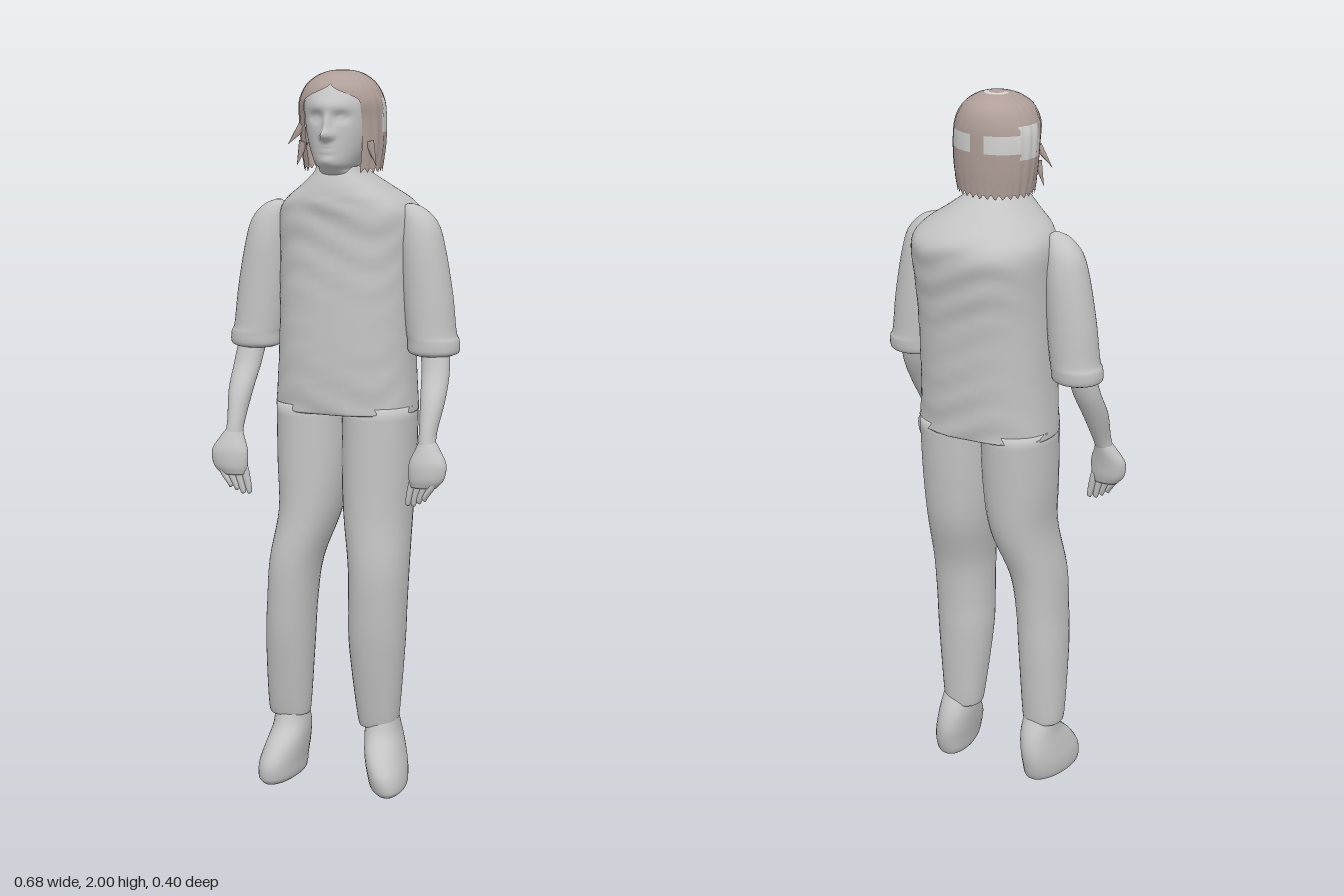
import * as THREE from 'three';

const grey = new THREE.MeshStandardMaterial({ color: 0xc4c4c4 });
grey.name = 'paleGrey';
const brown = new THREE.MeshStandardMaterial({ color: 0xb09f99, side: THREE.DoubleSide });
brown.name = 'hairBrown';
const bare = new THREE.MeshStandardMaterial({ color: 0xd2d2d0, side: THREE.DoubleSide });
bare.name = 'lightPatch';

// Smooth skin through level rings [y, xMin, xMax, zMin, zMax], listed upwards.
// gap(y): half angle left open at the front; bump(v, t): moves a vertex; pick(v): material per face.
function loft(name, rings, { n = 32, rows = 5, power = 1, gap, bump, pick } = {}) {
  const spline = (f) => new THREE.CatmullRomCurve3(rings.map(f), false, 'catmullrom', 0.5);
  const centre = spline(([y, a, b, c, d]) => new THREE.Vector3((a + b) / 2, y, (c + d) / 2));
  const radius = spline(([, a, b, c, d]) => new THREE.Vector3((b - a) / 2, 0, (d - c) / 2));
  const m = (rings.length - 1) * rows, cols = gap ? n + 1 : n;
  const verts = [], pos = [], faces = [[], []];
  const bend = (s) => Math.sign(s) * Math.abs(s) ** power;
  for (let i = 0; i <= m; i++) {
    const c = centre.getPoint(i / m), r = radius.getPoint(i / m), g = gap ? gap(c.y) : 0;
    for (let j = 0; j < cols; j++) {
      const t = g + (j / n) * 2 * (Math.PI - g);
      const v = new THREE.Vector3(c.x + Math.max(r.x, 0) * bend(Math.sin(t)), c.y, c.z + Math.max(r.z, 0) * bend(Math.cos(t)));
      if (bump) bump(v, t);
      verts.push(v);
    }
  }
  for (let i = 0; i < m; i++) for (let j = 0; j < n; j++) {
    const k = gap ? j + 1 : (j + 1) % n;
    const a = i * cols + j, b = i * cols + k, c = b + cols, d = a + cols;
    const mid = verts[a].clone().add(verts[c]).multiplyScalar(0.5);
    faces[pick ? pick(mid) : 0].push(a, b, c, a, c, d);
  }
  // End caps
  if (!gap) for (const end of [0, m]) {
    const e = centre.getPoint(end / m), at = verts.push(e) - 1;
    for (let j = 0; j < n; j++) {
      const a = end * cols + j, b = end * cols + (j + 1) % n;
      faces[0].push(...(end ? [a, b, at] : [b, a, at]));
    }
  }
  verts.forEach((v) => pos.push(v.x, v.y, v.z));
  const geo = new THREE.BufferGeometry();
  geo.setAttribute('position', new THREE.Float32BufferAttribute(pos, 3));
  geo.setIndex([...faces[0], ...faces[1]]);
  geo.addGroup(0, faces[0].length, 0);
  geo.addGroup(faces[0].length, faces[1].length, 1);
  geo.computeVertexNormals();
  const mesh = new THREE.Mesh(geo, pick ? [brown, bare] : grey);
  mesh.name = name;
  return mesh;
}

// Mirrors rings to the other side, with a small sideways shift
const flip = (rings, shift = 0) => rings.map(([y, a, b, c, d]) => [y, -b + shift, -a + shift, c, d]);
const hill = (x, y, sx, sy) => Math.exp(-((x / sx) ** 2) - ((y / sy) ** 2));

function face(v) {
  if (v.z < 0.06 || v.y < 1.74) return;
  const x = v.x, ax = Math.abs(x), y = v.y;
  v.z += 0.040 * hill(x, y - 1.833, 0.014, 0.014)      // nose tip
    + 0.018 * hill(x, y - 1.862, 0.011, 0.024)         // nose bridge
    + 0.008 * hill(ax - 0.014, y - 1.828, 0.008, 0.008) // nostrils
    + 0.009 * hill(x, y - 1.91, 0.06, 0.02)            // brow
    - 0.015 * hill(ax - 0.036, y - 1.879, 0.018, 0.012) // eye sockets
    + 0.010 * hill(ax - 0.036, y - 1.878, 0.010, 0.006) // eyes
    + 0.009 * hill(x, y - 1.797, 0.024, 0.013)         // lips
    - 0.010 * hill(x, y - 1.797, 0.024, 0.003)         // mouth line
    + 0.006 * hill(x, y - 1.765, 0.02, 0.012);         // chin
}

function buildHead() {
  const head = new THREE.Group();
  head.name = 'head';
  head.add(loft('faceAndNeck', [
    [1.66, -0.07, 0.07, -0.01, 0.11], [1.71, -0.064, 0.064, -0.01, 0.11],
    [1.738, -0.05, 0.05, -0.02, 0.135], [1.755, -0.06, 0.06, -0.04, 0.157],
    [1.80, -0.08, 0.08, -0.06, 0.157], [1.86, -0.093, 0.093, -0.065, 0.155],
    [1.92, -0.096, 0.096, -0.065, 0.148], [1.96, -0.08, 0.08, -0.05, 0.122],
    [1.985, -0.045, 0.045, -0.015, 0.08], [1.992, 0, 0, 0.03, 0.03],
  ], { n: 96, rows: 9, bump: face }));

  // Hair cap, open around the face, with bare patches at the crown, sides and back
  const patch = (v) => {
    const ax = Math.abs(v.x), r = Math.hypot(v.x, v.z - 0.028);
    const crown = v.y > 1.97 && r > 0.02 && r < 0.034 && v.z < 0.035;
    const side = ax > 0.08 && v.z > -0.025 && v.z < 0.045 && v.y > 1.84 && v.y < 1.925;
    const back = v.z < -0.025 && ax > 0.02 && v.y > 1.855 && v.y < 1.9;
    return crown || side || back ? 1 : 0;
  };
  head.add(loft('hair', [
    [1.735, -0.105, 0.108, -0.068, 0.122], [1.80, -0.115, 0.118, -0.074, 0.125],
    [1.87, -0.12, 0.12, -0.077, 0.13], [1.92, -0.116, 0.116, -0.076, 0.142],
    [1.96, -0.096, 0.096, -0.064, 0.132], [1.985, -0.066, 0.066, -0.038, 0.10],
    [1.997, -0.034, 0.034, -0.006, 0.062], [2.0, 0, 0, 0.028, 0.028],
  ], {
    n: 112, rows: 8, pick: patch,
    gap: (y) => 0.74 * (1 - THREE.MathUtils.smoothstep(y, 1.92, 1.968)),
    bump: (v, t) => {
      const ripple = 1 + 0.012 * Math.sin(t * 23);
      v.x *= ripple;
      if (v.y < 1.77) v.y += 0.006 * Math.sin(t * 31);
    },
  }));

  // Loose locks beside the face
  for (const [x, y, z, tilt] of [[-0.118, 1.825, 0.08, -0.7], [-0.102, 1.775, 0.085, -0.3], [0.105, 1.78, 0.085, 0.3]]) {
    const lock = new THREE.Mesh(new THREE.ConeGeometry(0.014, 0.07, 8), brown);
    lock.name = 'hairLock';
    lock.position.set(x, y, z);
    lock.rotation.z = Math.PI + tilt;
    lock.scale.z = 0.5;
    head.add(lock);
  }
  return head;
}

function buildArm(name, side) {
  const arm = new THREE.Group();
  arm.name = name;
  const place = (r) => (side < 0 ? r : flip(r));
  arm.add(loft('sleeve', place([
    [1.235, -0.312, -0.205, -0.03, 0.068], [1.245, -0.329, -0.188, -0.047, 0.083],
    [1.275, -0.329, -0.186, -0.052, 0.085], [1.30, -0.320, -0.182, -0.05, 0.083],
    [1.40, -0.309, -0.172, -0.05, 0.08], [1.52, -0.288, -0.165, -0.046, 0.075],
    [1.59, -0.268, -0.165, -0.034, 0.063], [1.63, -0.232, -0.168, -0.012, 0.045],
    [1.645, -0.198, -0.182, 0.012, 0.025],
  ])));
  arm.add(loft('forearm', place([
    [1.0, -0.305, -0.255, 0.12, 0.168], [1.04, -0.302, -0.254, 0.098, 0.158],
    [1.12, -0.312, -0.245, 0.05, 0.128], [1.19, -0.312, -0.235, 0.012, 0.085],
    [1.26, -0.305, -0.225, -0.01, 0.06],
  ])));
  arm.add(loft('palm', place([
    [0.895, -0.312, -0.240, 0.14, 0.178], [0.92, -0.333, -0.234, 0.132, 0.186],
    [0.96, -0.338, -0.234, 0.126, 0.185], [0.995, -0.318, -0.248, 0.118, 0.173],
    [1.02, -0.300, -0.258, 0.112, 0.162],
  ])));
  // Four fingers curling inwards
  for (let i = 0; i < 4; i++) {
    const x = -0.304 + i * 0.019, tip = -0.282 + i * 0.017, low = 0.868 - 0.009 * Math.min(i, 2);
    const w = 0.011, z = 0.165 - 0.004 * i;
    arm.add(loft('finger', place([
      [low - 0.01, tip - 0.003, tip + 0.003, z - 0.003, z + 0.003],
      [low, tip - 0.008, tip + 0.008, z - 0.009, z + 0.009],
      [0.895, x + 0.006 - w, x + 0.006 + w, z - 0.013, z + 0.013],
      [0.92, x - w, x + w, z - 0.013, z + 0.013],
    ], { n: 12 })));
  }
  return arm;
}

export function createModel() {
  const model = new THREE.Group();
  model.name = 'standingFigure';
  model.add(buildHead());

  // Shirt with faint wrinkles
  model.add(loft('shirt', [
    [1.07, -0.198, 0.2, -0.15, 0.13], [1.09, -0.198, 0.2, -0.152, 0.135],
    [1.22, -0.19, 0.193, -0.16, 0.14], [1.40, -0.188, 0.195, -0.17, 0.136],
    [1.52, -0.19, 0.2, -0.186, 0.132], [1.60, -0.192, 0.203, -0.194, 0.132],
    [1.645, -0.172, 0.178, -0.172, 0.136], [1.69, -0.115, 0.118, -0.115, 0.13],
    [1.725, -0.075, 0.075, -0.06, 0.118], [1.745, -0.066, 0.066, -0.03, 0.105],
  ], {
    n: 64, power: 0.86,
    bump: (v, t) => { if (v.y < 1.66) v.z += 0.003 * Math.sin(v.y * 70 + 3 * Math.sin(t * 3)) * Math.cos(t); },
  }));

  model.add(buildArm('rightArm', -1), buildArm('leftArm', 1));

  // Trouser legs, the left one standing nearer the middle
  model.add(loft('rightTrouserLeg', [
    [0.185, -0.208, -0.11, -0.03, 0.066], [0.20, -0.222, -0.102, -0.036, 0.076],
    [0.40, -0.222, -0.086, -0.046, 0.113], [0.52, -0.215, -0.078, -0.05, 0.126],
    [0.64, -0.207, -0.062, -0.064, 0.132], [0.78, -0.187, -0.016, -0.105, 0.122],
    [0.92, -0.194, 0.002, -0.122, 0.118], [1.09, -0.198, 0.004, -0.134, 0.115],
  ], { power: 0.93 }));
  model.add(loft('leftTrouserLeg', [
    [0.175, 0.056, 0.152, -0.03, 0.066], [0.19, 0.046, 0.162, -0.036, 0.076],
    [0.40, 0.026, 0.182, -0.046, 0.113], [0.52, 0.026, 0.188, -0.05, 0.126],
    [0.64, 0.024, 0.192, -0.064, 0.132], [0.78, 0.004, 0.192, -0.105, 0.122],
    [0.92, -0.004, 0.198, -0.122, 0.118], [1.09, -0.004, 0.2, -0.134, 0.115],
  ], { power: 0.93 }));

  // Rounded shoes, toes turned slightly outwards
  const shoe = [
    [0, -0.205, -0.13, -0.03, 0.155], [0.015, -0.222, -0.115, -0.052, 0.166],
    [0.055, -0.225, -0.112, -0.066, 0.166], [0.10, -0.218, -0.108, -0.07, 0.138],
    [0.15, -0.208, -0.106, -0.058, 0.088], [0.20, -0.205, -0.11, -0.03, 0.066],
  ];
  const splay = (side, amount) => (v) => { if (v.y < 0.15) v.x += side * amount * (v.z - 0.02) * (1 - v.y / 0.15); };
  model.add(loft('rightShoe', shoe, { bump: splay(-1, 0.08), power: 0.95 }));
  model.add(loft('leftShoe', flip(shoe, -0.043).map(([y, a, b, c, d]) => {
    const out = 0.016 * (1 - y / 0.2);
    return [y, a + out, b + out, c, d];
  }), { bump: splay(1, 0.2), power: 0.95 }));
  return model;
}
